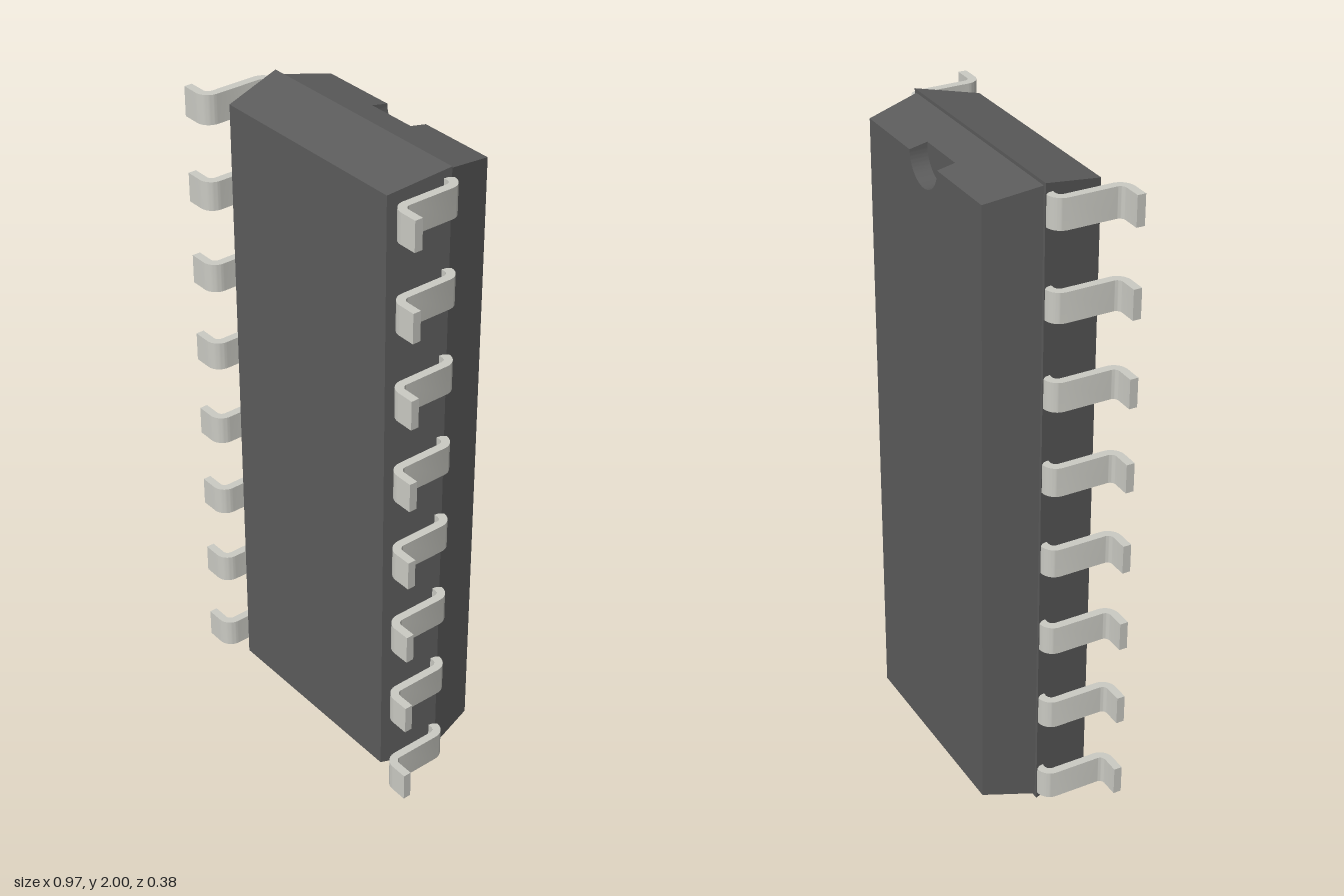
import * as THREE from 'three';
import { toCreasedNormals } from 'three/addons/utils/BufferGeometryUtils.js';

const PI = Math.PI;
const bodyMat = new THREE.MeshStandardMaterial({ color: 0x5c5c5c });
const leadMat = new THREE.MeshStandardMaterial({ color: 0xcacac3 });

// Rectangle outline about the origin, optionally with a half-round notch in the top edge
function outline(hx, hy, notch = 0) {
  const s = new THREE.Shape();
  s.moveTo(-hx, -hy);
  s.lineTo(hx, -hy);
  s.lineTo(hx, hy);
  if (notch) {
    s.lineTo(notch, hy);
    s.absarc(0, hy, notch, 0, -PI, true);
  }
  s.lineTo(-hx, hy);
  return s;
}

// Block from z0 to z1 whose outer edges move outward by `grow` at z1
function taperedBlock(name, hx, hy, z0, z1, grow, notch) {
  const geo = new THREE.ExtrudeGeometry(outline(hx, hy, notch), {
    depth: z1 - z0, bevelEnabled: false, curveSegments: 24,
  });
  const p = geo.attributes.position;
  const e = 1e-5;
  for (let i = 0; i < p.count; i++) {
    if (p.getZ(i) < e) continue;
    const x = p.getX(i), y = p.getY(i);
    if (Math.abs(x) > hx - e) p.setX(i, x + Math.sign(x) * grow);
    if (Math.abs(y) > hy - e) p.setY(i, y + Math.sign(y) * grow);
  }
  geo.translate(0, 1, z0);
  const mesh = new THREE.Mesh(toCreasedNormals(geo, 0.5), bodyMat);
  mesh.name = name;
  return mesh;
}

// Bent strip: shoulder, upright and foot, drawn in x-z and extruded along y
function leadGeometry() {
  const R = 0.042, r = 0.017, width = 0.09;
  const s = new THREE.Shape();
  s.moveTo(0.355, -0.035);
  s.absarc(0.375, 0.007, R, -PI / 2, 0, false);
  s.absarc(0.434, 0.148, r, PI, PI / 2, true);
  s.lineTo(0.487, 0.165);
  s.lineTo(0.487, 0.19);
  s.absarc(0.434, 0.148, R, PI / 2, PI, false);
  s.absarc(0.375, 0.007, r, 0, -PI / 2, true);
  s.lineTo(0.355, -0.01);
  const geo = new THREE.ExtrudeGeometry(s, { depth: width, bevelEnabled: false, curveSegments: 8 });
  geo.rotateX(PI / 2);
  geo.translate(0, width / 2, 0);
  return toCreasedNormals(geo, 0.5);
}

export function createModel() {
  const model = new THREE.Group();
  model.name = 'chipPackage';

  // Body: front half slightly larger than the back half, notch in the back
  const body = new THREE.Group();
  body.name = 'body';
  body.add(
    taperedBlock('frontHalf', 0.368, 1, -0.033, 0.151, -0.036),
    taperedBlock('backHalf', 0.336, 0.968, -0.14, -0.033, 0.022),
    taperedBlock('notchedBack', 0.325, 0.957, -0.193, -0.14, 0.011, 0.08),
  );
  model.add(body);

  // Eight leads on each side
  const geo = leadGeometry();
  for (const side of ['left', 'right']) {
    const row = new THREE.Group();
    row.name = side + 'Leads';
    for (let i = 0; i < 8; i++) {
      const lead = new THREE.Mesh(geo, leadMat);
      lead.name = side + 'Lead' + (i + 1);
      lead.position.y = 1 + (i - 3.5) * 0.265;
      if (side === 'right') lead.rotation.z = PI;
      row.add(lead);
    }
    model.add(row);
  }
  return model;
}
